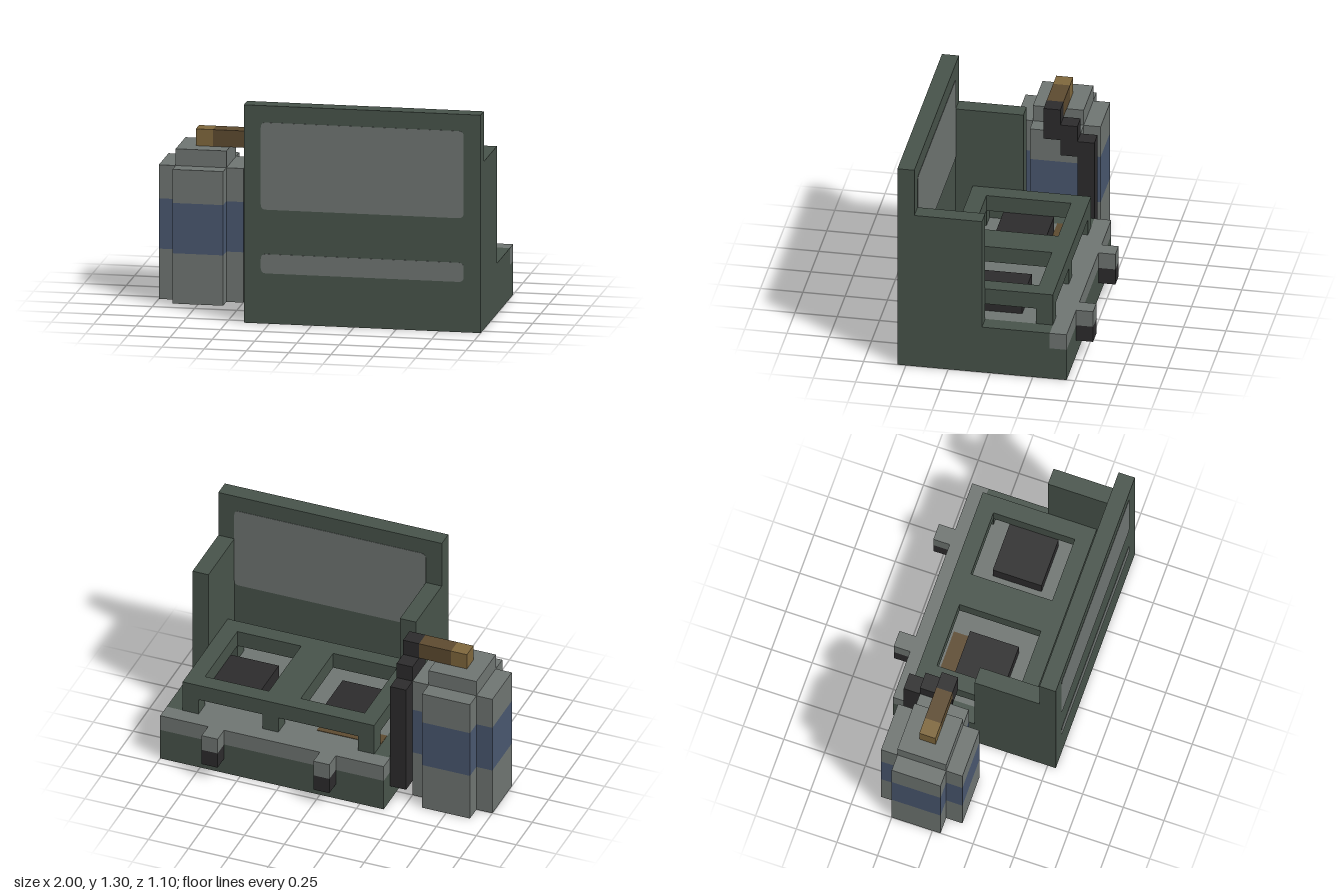
import * as THREE from 'three';

const colours = {
  green: 0x48544b, steel: 0x707673, black: 0x2d2c2d,
  blue: 0x4a5870, brown: 0x5e4b30, brass: 0x80683d,
};

export function createModel() {
  const model = new THREE.Group();
  model.name = 'campStove';
  const mats = {};
  for (const [name, color] of Object.entries(colours)) {
    mats[name] = new THREE.MeshStandardMaterial({ color });
    mats[name].name = name;
  }

  const group = (name) => {
    const g = new THREE.Group();
    g.name = name;
    model.add(g);
    return g;
  };
  const add = (parent, name, mat, geo) => {
    const mesh = new THREE.Mesh(geo, mats[mat]);
    mesh.name = name;
    parent.add(mesh);
    return mesh;
  };
  // Box given by its extents on each axis
  const box = (parent, name, mat, [x0, x1], [y0, y1], [z0, z1]) =>
    add(parent, name, mat, new THREE.BoxGeometry(x1 - x0, y1 - y0, z1 - z0)
      .translate((x0 + x1) / 2, (y0 + y1) / 2, (z0 + z1) / 2));
  const rect = (Type, x0, x1, y0, y1) => new Type([
    new THREE.Vector2(x0, y0), new THREE.Vector2(x1, y0),
    new THREE.Vector2(x1, y1), new THREE.Vector2(x0, y1)]);
  // Thin painted panel with rounded corners
  const panel = (parent, name, [x0, x1], [y0, y1], z, r) => {
    const s = new THREE.Shape();
    s.moveTo(x0 + r, y0);
    s.lineTo(x1 - r, y0);
    s.quadraticCurveTo(x1, y0, x1, y0 + r);
    s.lineTo(x1, y1 - r);
    s.quadraticCurveTo(x1, y1, x1 - r, y1);
    s.lineTo(x0 + r, y1);
    s.quadraticCurveTo(x0, y1, x0, y1 - r);
    s.lineTo(x0, y0 + r);
    s.quadraticCurveTo(x0, y0, x0 + r, y0);
    add(parent, name, 'steel', new THREE.ExtrudeGeometry(s,
      { depth: 0.004, bevelEnabled: false, curveSegments: 4 }).translate(0, 0, z - 0.002));
  };

  // Case: green base and side rims, steel tray and back rail
  const body = group('case');
  box(body, 'base', 'green', [-0.4, 1], [0, 0.2], [-0.45, 0.45]);
  box(body, 'tray', 'steel', [-0.3, 0.9], [0.2, 0.3], [-0.35, 0.45]);
  box(body, 'backRail', 'steel', [-0.4, 1], [0.2, 0.3], [-0.45, -0.35]);
  for (const x of [-0.4, 0.9]) {
    box(body, 'sideRim', 'green', [x, x + 0.1], [0.2, 0.3], [-0.35, 0.45]);
    box(body, 'windGuard', 'green', [x, x + 0.1], [0.3, 1], [0.05, 0.45]);
  }

  // Upright lid with steel panels
  const lid = group('lid');
  box(lid, 'lidBoard', 'green', [-0.4, 1], [0, 1.3], [0.45, 0.55]);
  for (const z of [0.45, 0.55]) panel(lid, 'lidPanel', [-0.3, 0.9], [0.68, 1.2], z, 0.03);
  panel(lid, 'lidStripe', [-0.3, 0.9], [0.3, 0.415], 0.55, 0.03);

  // Control knobs at the back
  const knobs = group('knobs');
  for (const x of [-0.1, 0.6]) {
    box(knobs, 'knobStem', 'steel', [x, x + 0.1], [0.2, 0.3], [-0.55, -0.45]);
    box(knobs, 'knob', 'black', [x, x + 0.1], [0.1, 0.2], [-0.55, -0.45]);
  }

  // Burners and the feed pipe set into the tray
  const burners = group('burners');
  for (const x of [-0.2, 0.5]) {
    box(burners, 'burner', 'black', [x, x + 0.3], [0.3, 0.4], [-0.15, 0.15]);
  }
  box(burners, 'feedPipe', 'brown', [-0.3, 0.1], [0.298, 0.303], [-0.25, -0.15]);

  // Grate with two openings on six legs
  const grate = group('grate');
  const frame = rect(THREE.Shape, -0.3, 0.9, -0.35, 0.35);
  for (const x of [-0.2, 0.4]) frame.holes.push(rect(THREE.Path, x, x + 0.4, -0.25, 0.25));
  add(grate, 'grateFrame', 'green', new THREE.ExtrudeGeometry(frame,
    { depth: 0.1, bevelEnabled: false }).rotateX(-Math.PI / 2).translate(0, 0.4, 0));
  for (const x of [-0.3, 0.3, 0.8]) {
    for (const z of [-0.35, 0.25]) {
      box(grate, 'grateLeg', 'green', [x, x + 0.1], [0.3, 0.4], [z, z + 0.1]);
    }
  }

  // Gas bottle: cross-shaped section in three bands, with a shoulder
  const bottle = group('gasBottle');
  const cross = new THREE.Shape([
    [-1, -0.25], [-0.9, -0.25], [-0.9, -0.35], [-0.6, -0.35], [-0.6, -0.25], [-0.5, -0.25],
    [-0.5, 0.05], [-0.6, 0.05], [-0.6, 0.15], [-0.9, 0.15], [-0.9, 0.05], [-1, 0.05],
  ].map(([x, z]) => new THREE.Vector2(x, -z)).reverse());
  for (const [name, mat, y0, y1] of [['bottleBottom', 'steel', 0, 0.3],
    ['bottleBand', 'blue', 0.3, 0.6], ['bottleTop', 'steel', 0.6, 0.8]]) {
    add(bottle, name, mat, new THREE.ExtrudeGeometry(cross,
      { depth: y1 - y0, bevelEnabled: false }).rotateX(-Math.PI / 2).translate(0, y0, 0));
  }
  box(bottle, 'shoulder', 'steel', [-0.9, -0.6], [0.8, 0.9], [-0.25, 0.05]);

  // Valve and stepped hose leading to the case
  const hose = group('hose');
  box(hose, 'valveTip', 'brass', [-0.8, -0.7], [0.9, 1], [-0.15, -0.05]);
  box(hose, 'valve', 'brown', [-0.7, -0.5], [0.9, 1], [-0.15, -0.05]);
  box(hose, 'hoseTop', 'black', [-0.5, -0.4], [0.8, 1], [-0.15, -0.05]);
  box(hose, 'hoseBend', 'black', [-0.5, -0.4], [0.7, 0.9], [-0.25, -0.15]);
  box(hose, 'hoseDrop', 'black', [-0.5, -0.4], [0.1, 0.8], [-0.35, -0.25]);
  box(hose, 'inlet', 'brass', [-0.5, -0.4], [0.1, 0.2], [-0.25, -0.15]);

  return model;
}
